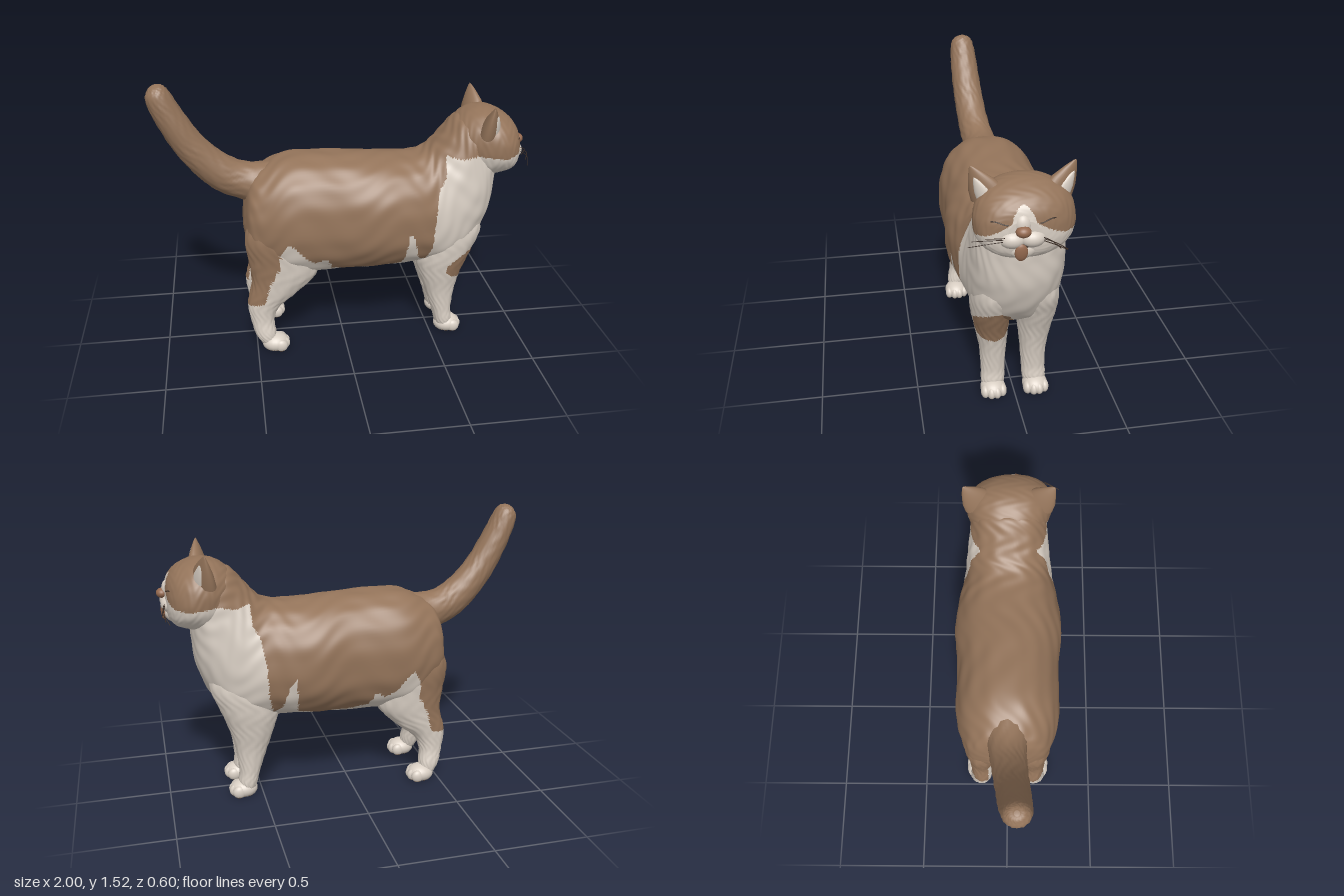
import * as THREE from 'three';

const mat = (name, color) => Object.assign(new THREE.MeshStandardMaterial({ color }), { name });

// Linear interpolation through a list of [x, y] points
function poly(points, x) {
  if (x <= points[0][0]) return points[0][1];
  for (let i = 1; i < points.length; i++) {
    const [x0, y0] = points[i - 1], [x1, y1] = points[i];
    if (x <= x1) return y0 + (y1 - y0) * (x - x0) / (x1 - x0);
  }
  return points[points.length - 1][1];
}

// Height of the coat border along the body, and across the face
const coatLine = [[-0.56, 0.28], [-0.45, 0.3], [-0.42, 0.42], [-0.37, 0.52], [-0.36, 0.62], [-0.32, 0.69],
  [-0.28, 0.66], [-0.22, 0.58], [-0.17, 0.55], [-0.11, 0.58], [-0.08, 0.5], [0, 0.48], [0.2, 0.47],
  [0.31, 0.5], [0.33, 0.71], [0.36, 0.68], [0.4, 0.53], [0.44, 0.51], [0.465, 0.6], [0.48, 0.8],
  [0.495, 0.92], [0.535, 0.99], [0.542, 1.1], [0.62, 1.085], [0.7, 1.105], [0.87, 1.09]];
const faceLine = [[0, 1.25], [0.02, 1.24], [0.045, 1.205], [0.055, 1.17], [0.1, 1.14], [0.15, 1.115], [0.2, 1.095]];

function isWhite(x, y, z) {
  // Round patch wrapping the outside of one foreleg
  if (x > 0.54 && z > 0.01) {
    const u = (z - 0.105) / (z > 0.105 ? 0.14 : 0.09), v = (y - 0.455 - 0.2 * (x - 0.66)) / 0.092;
    if (Math.hypot(u, v, Math.min(0, (x - 0.68) / 0.17)) < 1) return false;
  }
  // Inner thighs
  if (x < -0.3 && y < 0.5 && Math.abs(z) < 0.11) return true;
  if (x > 0.87) return y < poly(faceLine, Math.abs(z - 0.03));
  return y < poly(coatLine, x);
}

// Loft through stations [ax, ay, bx, by, halfWidth, centreZ]; a and b are opposite outline points
function loft(stations, { rings, sides, power = 1, fur = 0.003, flip = 1, sag = 0 }) {
  const curve = f => new THREE.CatmullRomCurve3(stations.map(f), false, 'catmullrom', 0.5);
  const A = curve(s => new THREE.Vector3(s[0], s[1], 0));
  const B = curve(s => new THREE.Vector3(s[2], s[3], 0));
  const W = curve(s => new THREE.Vector3(s[4], (s[5] || 0) * flip, 0));
  const round = v => Math.sign(v) * Math.abs(v) ** power;
  const pos = [], tris = [];
  for (let i = 0; i <= rings; i++) {
    const t = i / rings, a = A.getPoint(t), b = B.getPoint(t), w = W.getPoint(t);
    const c = a.clone().add(b).multiplyScalar(0.5), u = a.sub(b).multiplyScalar(0.5);
    for (let j = 0; j < sides; j++) {
      const q = j / sides * Math.PI * 2;
      const tuft = Math.sin(q * 13 + 2 * Math.sin(t * 29)) * Math.sin(t * 43 + q * 3);
      const k = 1 + fur * tuft / Math.max(0.05, w.x);
      const cu = round(Math.cos(q)) * k, sz = round(Math.sin(q)) * k * (1 - sag * Math.cos(q));
      pos.push(c.x + u.x * cu, c.y + u.y * cu, w.y + w.x * sz);
      if (i < rings) {
        const n = (j + 1) % sides, p = i * sides, r = p + sides;
        tris.push([p + j, p + n, r + j], [p + n, r + n, r + j]);
      }
    }
  }
  // End caps
  for (const i of [0, rings]) {
    const a = A.getPoint(i / rings), b = B.getPoint(i / rings), w = W.getPoint(i / rings);
    const centre = pos.length / 3;
    pos.push((a.x + b.x) / 2, (a.y + b.y) / 2, w.y);
    for (let j = 0; j < sides; j++) {
      const p = i * sides + j, n = i * sides + (j + 1) % sides;
      tris.push(i ? [centre, p, n] : [centre, n, p]);
    }
  }
  const g = new THREE.BufferGeometry();
  g.setAttribute('position', new THREE.Float32BufferAttribute(pos, 3));
  g.setIndex(tris.flat());
  g.computeVertexNormals();
  return g;
}

// Sort triangles into two material groups by a rule on their centre
function paint(g, rule) {
  const p = g.attributes.position, idx = g.index.array, lists = [[], []];
  for (let i = 0; i < idx.length; i += 3) {
    const t = [idx[i], idx[i + 1], idx[i + 2]];
    const mid = f => (f(t[0]) + f(t[1]) + f(t[2])) / 3;
    lists[rule(mid(k => p.getX(k)), mid(k => p.getY(k)), mid(k => p.getZ(k))) ? 1 : 0].push(...t);
  }
  g.setIndex(lists.flat());
  g.clearGroups();
  g.addGroup(0, lists[0].length, 0);
  g.addGroup(lists[0].length, lists[1].length, 1);
  return g;
}

export function createModel() {
  const model = new THREE.Group();
  model.name = 'cat';
  const brown = mat('brown fur', 0x94745a), white = mat('white fur', 0xd8cec3);
  const pink = mat('nose and tongue', 0x94694f), dark = mat('dark lines', 0x3a2c24);
  const coat = [brown, white];
  const add = (name, geometry, material, parent = model) => {
    const m = new THREE.Mesh(geometry, material);
    m.name = name;
    parent.add(m);
    return m;
  };
  const ball = (name, material, [x, y, z], [sx, sy, sz]) => {
    const m = add(name, new THREE.SphereGeometry(1, 24, 16), material);
    m.position.set(x, y, z);
    m.scale.set(sx, sy, sz);
    return m;
  };

  // Torso, chest and neck
  add('body', paint(loft([
    [-0.535, 0.84, -0.545, 0.7, 0.1], [-0.5, 0.98, -0.515, 0.56, 0.195], [-0.42, 1.045, -0.42, 0.47, 0.245],
    [-0.27, 1.095, -0.27, 0.43, 0.28], [0, 1.09, 0, 0.43, 0.28], [0.2, 1.075, 0.2, 0.44, 0.3],
    [0.36, 1.07, 0.42, 0.45, 0.28], [0.45, 1.09, 0.62, 0.46, 0.25], [0.51, 1.14, 0.74, 0.57, 0.235],
    [0.57, 1.21, 0.815, 0.74, 0.22], [0.63, 1.27, 0.835, 0.9, 0.207], [0.7, 1.27, 0.84, 0.99, 0.187],
  ], { rings: 170, sides: 110, power: 0.87, sag: 0.03 }), isWhite), coat);

  // Head
  const head = add('head', paint(loft([
    [0.58, 1.18, 0.7, 0.98, 0.14], [0.63, 1.265, 0.74, 0.95, 0.19], [0.71, 1.315, 0.79, 0.95, 0.225],
    [0.8, 1.32, 0.86, 0.965, 0.235, 0.005], [0.885, 1.285, 0.91, 0.98, 0.202, 0.015],
    [0.935, 1.235, 0.94, 1.01, 0.145, 0.025], [0.955, 1.18, 0.955, 1.06, 0.07, 0.03],
  ], { rings: 90, sides: 100, power: 0.88, fur: 0.0015, sag: 0.05 }), isWhite), coat);

  // Tail
  add('tail', loft([
    [-0.36, 0.78, -0.32, 1.06, 0.13], [-0.52, 0.85, -0.5, 1.06, 0.1], [-0.69, 0.935, -0.62, 1.12, 0.09, 0.015],
    [-0.84, 1.1, -0.73, 1.23, 0.085, 0.03], [-0.94, 1.28, -0.82, 1.37, 0.08, 0.04],
    [-0.997, 1.43, -0.88, 1.48, 0.068, 0.045], [-0.985, 1.49, -0.91, 1.513, 0.045, 0.045],
    [-0.96, 1.515, -0.935, 1.52, 0.012, 0.045],
  ], { rings: 80, sides: 40 }), brown);

  // Legs, mirrored left and right
  const foreLeg = [
    [0.74, 0.82, 0.46, 0.8, 0.06, 0.12], [0.765, 0.66, 0.4, 0.62, 0.1, 0.12], [0.72, 0.53, 0.4, 0.5, 0.102, 0.118],
    [0.67, 0.4, 0.425, 0.4, 0.088, 0.113], [0.64, 0.28, 0.47, 0.27, 0.07, 0.107],
    [0.625, 0.15, 0.51, 0.15, 0.062, 0.107], [0.63, 0.08, 0.535, 0.06, 0.06, 0.11], [0.61, 0.03, 0.56, 0.02, 0.04, 0.11]];
  const hindLeg = [
    [-0.24, 0.88, -0.46, 0.88, 0.06, 0.13], [-0.17, 0.66, -0.54, 0.7, 0.1, 0.142], [-0.15, 0.47, -0.53, 0.55, 0.096, 0.14],
    [-0.26, 0.345, -0.515, 0.42, 0.08, 0.142], [-0.365, 0.26, -0.543, 0.29, 0.062, 0.147],
    [-0.4, 0.18, -0.53, 0.18, 0.055, 0.152], [-0.395, 0.1, -0.505, 0.09, 0.054, 0.168], [-0.4, 0.04, -0.46, 0.025, 0.04, 0.178]];
  // Paw with four toes and dark pads underneath
  const paw = (name, x, z) => {
    const g = new THREE.Group();
    g.name = name;
    model.add(g);
    const part = (label, px, py, pz, sx, sy, sz) => {
      const s = new THREE.SphereGeometry(1, 24, 18).scale(sx, sy, sz).translate(px, py, pz);
      const p = s.attributes.position;
      for (let i = 0; i < p.count; i++) p.setY(i, Math.max(0.004, p.getY(i)));
      s.computeVertexNormals();
      add(label, paint(s, (a, b) => b > 0.01), coat, g);
    };
    part('pawBase', x, 0.04, z, 0.075, 0.052, 0.066);
    [-1.5, -0.5, 0.5, 1.5].forEach(k =>
      part('toe', x + 0.052 - Math.abs(k) * 0.015, 0.036, z + k * 0.03, 0.036, 0.036, 0.023));
  };
  // Half outline of an ear, from base to tip
  const earProfile = [[0.088, 0], [0.071, 0.055], [0.04, 0.11], [0.012, 0.152], [0, 0.162]].map(p => new THREE.Vector2(...p));
  const earCone = () => new THREE.LatheGeometry(earProfile, 32);
  for (const side of [1, -1]) {
    const label = side > 0 ? 'Near' : 'Far';
    const leg = { rings: 80, sides: 56, fur: 0.002, power: 0.95, flip: side };
    add('foreLeg' + label, paint(loft(foreLeg, leg), isWhite), coat);
    add('hindLeg' + label, paint(loft(hindLeg, leg), isWhite), coat);
    paw('forePaw' + label, 0.605, 0.112 * side);
    paw('hindPaw' + label, -0.4, 0.18 * side);

    // Ear with pale inner face
    const ear = new THREE.Group();
    ear.name = 'ear' + label;
    ear.position.set(0.765, 1.235, 0.162 * side);
    ear.rotation.set(0.5 * side, -0.45 * side, 0);
    model.add(ear);
    add('earShell', earCone().scale(0.52, 1, 1), brown, ear);
    add('earInner', earCone().scale(0.3, 0.62, 0.5).translate(0.026, 0.015, 0), white, ear);
  }

  // Muzzle, nose, mouth and tongue
  for (const s of [1, -1]) ball('whiskerPad', white, [0.925, 1.09, 0.034 + 0.044 * s], [0.056, 0.046, 0.064]);
  ball('chin', white, [0.912, 1.03, 0.033], [0.05, 0.046, 0.07]);
  ball('noseBridge', white, [0.935, 1.16, 0.035], [0.034, 0.05, 0.04]);
  ball('nose', pink, [0.968, 1.138, 0.037], [0.03, 0.026, 0.035]);
  ball('mouth', dark, [0.95, 1.063, 0.037], [0.02, 0.014, 0.032]);
  ball('tongue', pink, [0.965, 1.035, 0.045], [0.014, 0.043, 0.03]).rotation.z = -0.1;

  // Closed eyelids, laid on the head surface
  head.updateMatrixWorld(true);
  const ray = new THREE.Raycaster();
  const onFace = (y, z) => {
    ray.set(new THREE.Vector3(2, y, z), new THREE.Vector3(-1, 0, 0));
    return ray.intersectObject(head)[0].point;
  };
  const tube = (name, points, r) =>
    add(name, new THREE.TubeGeometry(new THREE.CatmullRomCurve3(points), 20, r, 6), dark);
  for (const s of [1, -1]) {
    const lid = [[1.165, 0.07], [1.167, 0.085], [1.174, 0.105], [1.179, 0.125], [1.178, 0.145]];
    tube('eyelid', lid.map(([y, d]) => onFace(y, 0.03 + d * s)), 0.003);
  }

  // Whiskers
  [[0.945, 1.07, 0.28], [0.94, 1.095, 0.26], [0.935, 1.1, 0.2], [0.945, 1.02, -0.17], [0.965, 1.035, -0.165], [0.98, 1.05, -0.13]]
    .forEach(([x, y, z], i) => {
      const s = Math.sign(z), y0 = 1.09 + 0.008 * (i % 3);
      tube('whisker', [new THREE.Vector3(0.955, y0, 0.035 + 0.07 * s),
        new THREE.Vector3(0.97, (y0 + y) / 2 + 0.012, (0.035 + 0.07 * s + z) / 2), new THREE.Vector3(x, y, z)], 0.002);
    });

  return model;
}
